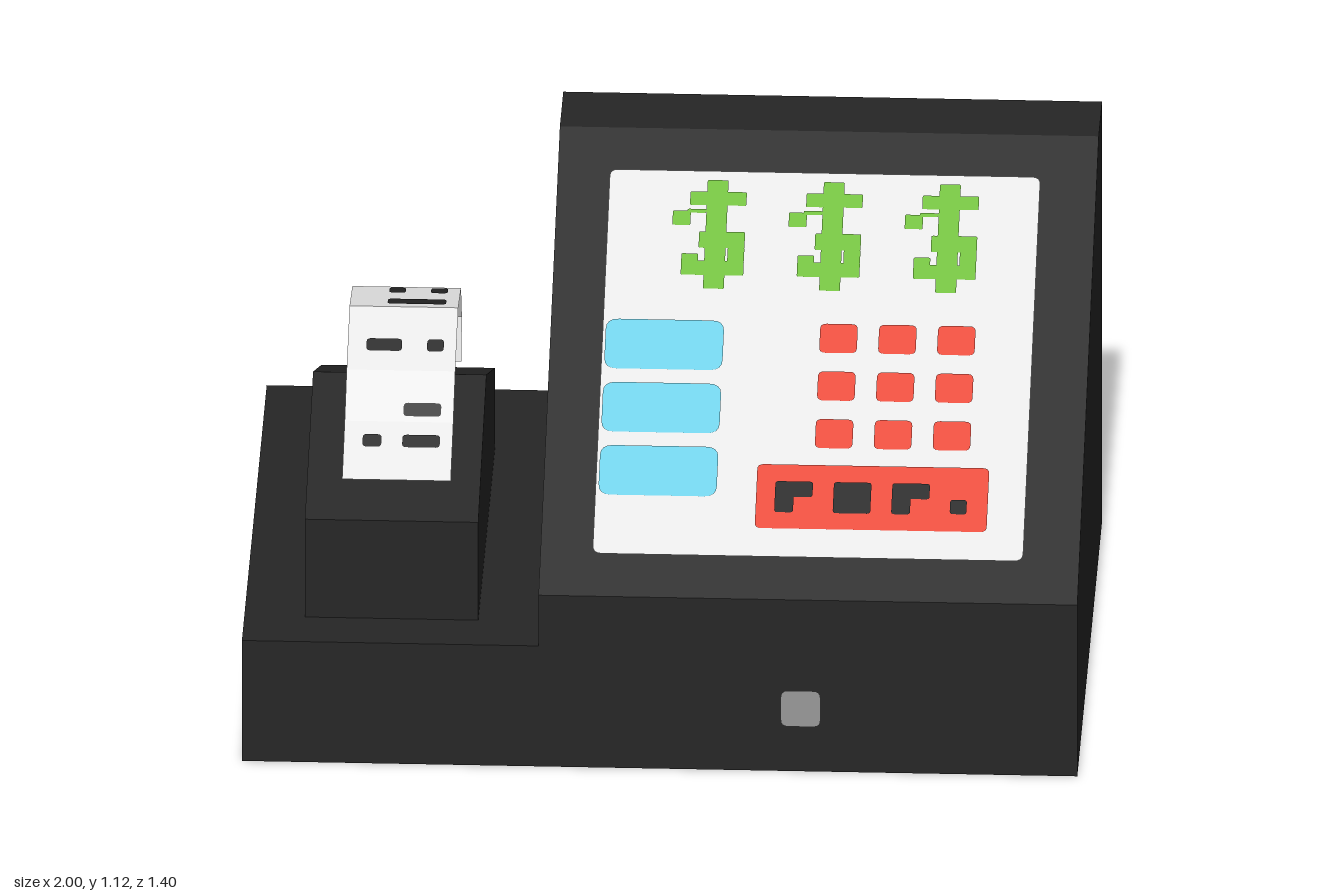
import * as THREE from 'three';

const paint = (name, color) => {
  const m = new THREE.MeshStandardMaterial({ color });
  m.name = name;
  return m;
};

export function createModel() {
  const casing = paint('black casing', 0x262626);
  const white = paint('screen and paper white', 0xe4e4e4);
  const paperWhite = white.clone();
  paperWhite.side = THREE.DoubleSide;
  const green = paint('symbol green', 0x70be39);
  const blue = paint('button blue', 0x6ecfe6);
  const red = paint('key red', 0xee4a39);
  const grey = paint('lock grey', 0x999999);
  const ink = paint('ink black', 0x222222);

  const model = new THREE.Group();
  model.name = 'cashRegister';

  const add = (parent, name, geometry, material) => {
    const mesh = new THREE.Mesh(geometry, material);
    mesh.name = name;
    parent.add(mesh);
    return mesh;
  };

  // Solid with a [z, y] side profile, running from x0 to x1
  const prism = (name, x0, x1, profile) => {
    const shape = new THREE.Shape(profile.map(([z, y]) => new THREE.Vector2(-z, y)));
    const g = new THREE.ExtrudeGeometry(shape, { depth: x1 - x0, bevelEnabled: false });
    g.rotateY(Math.PI / 2).translate(x0, 0, 0);
    return add(model, name, g, casing);
  };

  // Flat rounded rectangle in the xy plane
  const roundedRect = (x0, x1, y0, y1, r) => {
    const s = new THREE.Shape();
    s.moveTo(x0 + r, y0);
    s.lineTo(x1 - r, y0);
    s.quadraticCurveTo(x1, y0, x1, y0 + r);
    s.lineTo(x1, y1 - r);
    s.quadraticCurveTo(x1, y1, x1 - r, y1);
    s.lineTo(x0 + r, y1);
    s.quadraticCurveTo(x0, y1, x0, y1 - r);
    s.lineTo(x0, y0 + r);
    s.quadraticCurveTo(x0, y0, x0 + r, y0);
    return new THREE.ShapeGeometry(s, 4);
  };

  // Casing: sloped main body, low tray, and peaked printer housing
  prism('mainBody', -0.29, 1, [[0.7, 0], [0.7, 0.455], [-0.51, 1.115], [-0.7, 1.115], [-0.7, 0]]);
  prism('printerTray', -1, -0.29, [[0.7, 0], [0.7, 0.32], [-0.7, 0.32], [-0.7, 0]]);
  prism('printerHousing', -0.855, -0.44,
    [[0.565, 0.32], [0.565, 0.58], [0.1, 0.747], [-0.375, 0.535], [-0.375, 0.32]]);

  // Drawer lock
  add(model, 'drawerLock', roundedRect(0.29, 0.385, 0.12, 0.215, 0.018), grey).position.z = 0.704;

  // Touch panel lying on the slope; plates are placed by their x and z ranges
  const slope = Math.atan2(0.66, 1.21);
  const panel = new THREE.Group();
  panel.name = 'touchPanel';
  panel.position.set(0, 0.455, 0.7);
  panel.rotation.x = slope - Math.PI / 2;
  model.add(panel);
  const plate = (name, material, layer, x0, x1, z0, z1, r) => {
    const v = z => (0.7 - z) / Math.cos(slope);
    add(panel, name, roundedRect(x0, x1, v(z1), v(z0), r), material).position.z = layer * 0.003;
  };

  plate('screen', white, 1, -0.165, 0.865, -0.4, 0.59, 0.02);

  // Three green currency symbols made of strokes
  const strokes = [
    [0.07, 0.12, -0.375, -0.095], [0.03, 0.165, -0.345, -0.31], [-0.01, 0.033, -0.295, -0.258],
    [0.055, 0.165, -0.242, -0.2], [0.125, 0.165, -0.202, -0.165], [0.015, 0.165, -0.167, -0.13],
    [0.015, 0.055, -0.185, -0.15], [0.025, 0.07, -0.3, -0.29]
  ];
  for (let i = 0; i < 3; i++) {
    for (const [x0, x1, z0, z1] of strokes) {
      plate('currencySymbol', green, 2, x0 + i * 0.278, x1 + i * 0.278, z0, z1, 0.004);
    }
  }

  // Blue buttons and red number keys
  for (let row = 0; row < 3; row++) {
    plate('blueButton', blue, 2, -0.158, 0.125, -0.013 + row * 0.163, 0.115 + row * 0.163, 0.03);
    for (let col = 0; col < 3; col++) {
      const x = 0.355 + col * 0.141, z = -0.01 + row * 0.123;
      plate('numberKey', red, 2, x, x + 0.09, z, z + 0.075, 0.015);
    }
  }

  // Total bar with dark marks
  plate('totalBar', red, 2, 0.22, 0.775, 0.355, 0.52, 0.015);
  for (const x of [0.265, 0.545]) {
    plate('totalMark', ink, 3, x, x + 0.09, 0.4, 0.44, 0.008);
    plate('totalMark', ink, 3, x, x + 0.045, 0.42, 0.48, 0.008);
  }
  plate('totalMark', ink, 3, 0.405, 0.495, 0.4, 0.48, 0.008);
  plate('totalMark', ink, 3, 0.685, 0.725, 0.44, 0.477, 0.008);

  // Receipt: a folded ribbon, [z, y] from its back end to its front end
  const fold = [[-0.14, 0.665], [-0.165, 0.772], [-0.115, 0.872], [0.045, 0.897],
    [0.21, 0.808], [0.32, 0.725], [0.465, 0.64]];
  const ribbon = new THREE.PlaneGeometry(0.26, 1, 1, fold.length - 1);
  const pos = ribbon.attributes.position;
  for (let i = 0; i < pos.count; i++) {
    const [z, y] = fold[Math.floor(i / 2)];
    pos.setXYZ(i, pos.getX(i) - 0.64, y, z);
  }
  const paper = ribbon.toNonIndexed();
  paper.computeVertexNormals();
  add(model, 'receiptPaper', paper, paperWhite);

  // Printed dashes: fold segment, position along it, x range
  const dashes = [
    [0, 0.7, -0.63, -0.54],
    [2, 0.22, -0.68, -0.64], [2, 0.22, -0.58, -0.54], [2, 0.78, -0.68, -0.54],
    [3, 0.61, -0.725, -0.64], [3, 0.61, -0.58, -0.54], [4, 0.77, -0.63, -0.54],
    [5, 0.34, -0.725, -0.68], [5, 0.34, -0.63, -0.54]
  ];
  for (const [seg, t, x0, x1] of dashes) {
    const [z0, y0] = fold[seg], [z1, y1] = fold[seg + 1];
    const dz = z1 - z0, dy = y1 - y0, len = Math.hypot(dz, dy);
    const w = (x1 - x0) / 2, h = seg === 2 ? 0.02 : 0.018;
    const dash = add(model, 'receiptPrint', roundedRect(-w, w, -h, h, 0.01), ink);
    dash.position.set((x0 + x1) / 2, y0 + dy * t + 0.003 * dz / len, z0 + dz * t - 0.003 * dy / len);
    dash.rotation.x = Math.atan2(-dz, -dy);
  }

  return model;
}
